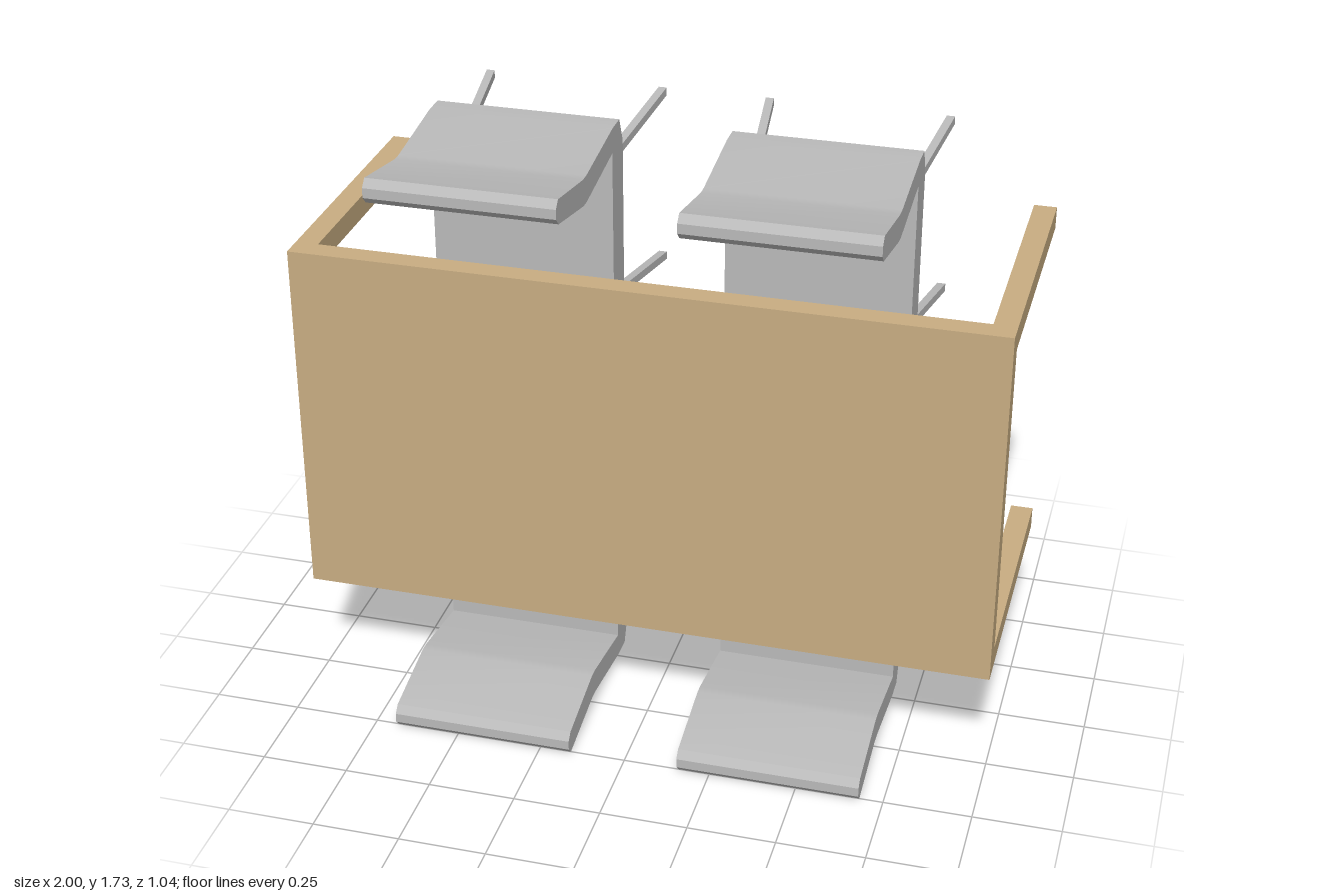
import * as THREE from 'three';
import { toCreasedNormals } from 'three/addons/utils/BufferGeometryUtils.js';

const wood = new THREE.MeshStandardMaterial({ color: 0xc8ad82, side: THREE.DoubleSide });
wood.name = 'tan wood';
const grey = new THREE.MeshStandardMaterial({ color: 0xb9b9b9, side: THREE.DoubleSide });
grey.name = 'light grey';

const MID = 0.867; // height of the table's centre line
const BACK = -0.52; // plane where all the legs end

function add(parent, name, geometry, material) {
  const mesh = new THREE.Mesh(geometry, material);
  mesh.name = name;
  parent.add(mesh);
  return mesh;
}

// Square tube along z, sheared from centre a (at z0) to centre b (at z1), open at the z1 end
function tube(size, a, b, z0, z1) {
  const g = new THREE.BoxGeometry(size, size, 1);
  g.setIndex(Array.from(g.index.array).slice(0, 30));
  const p = g.attributes.position;
  for (let i = 0; i < p.count; i++) {
    const [c, z] = p.getZ(i) > 0 ? [a, z0] : [b, z1];
    p.setXYZ(i, p.getX(i) + c[0], p.getY(i) + c[1], z);
  }
  const flat = g.toNonIndexed();
  flat.computeVertexNormals();
  return flat;
}

function rectangle(Path, w, h) {
  const s = new Path();
  s.moveTo(-w, -h).lineTo(w, -h).lineTo(w, h).lineTo(-w, h).closePath();
  return s;
}

function createTable() {
  const table = new THREE.Group();
  table.name = 'table';
  const halfH = 0.532, t = 0.065;

  // Top panel over a rim that leaves the underside recessed
  add(table, 'tableTop', new THREE.BoxGeometry(2, halfH * 2, 0.025), wood)
    .position.set(0, MID, 0.3025);
  const rim = rectangle(THREE.Shape, 1, halfH);
  rim.holes.push(rectangle(THREE.Path, 1 - t, halfH - t));
  add(table, 'tableRim', new THREE.ExtrudeGeometry(rim, { depth: 0.04, bevelEnabled: false }), wood)
    .position.set(0, MID, 0.25);

  // Four corner legs
  for (const sx of [-1, 1]) for (const sy of [-1, 1]) {
    const c = [sx * (1 - t / 2), MID + sy * (halfH - t / 2)];
    add(table, 'tableLeg', tube(t, c, c, 0.25, BACK), wood);
  }
  return table;
}

// Side profile of seat and backrest as (z, y)
const PROFILE = [
  [0.52, 1.713], [0.5, 1.734], [0.28, 1.694], [0.25, 1.694], [0, 1.726],
  [-0.065, 1.726], [-0.097, 1.653], [-0.097, 1.081], [-0.07, 1.053], [-0.022, 1.053],
  [0.006, 1.081], [0.006, 1.655], [0.25, 1.618], [0.28, 1.618], [0.5, 1.664], [0.52, 1.685],
];

function createChair() {
  const chair = new THREE.Group();
  const width = 0.524;
  const shape = new THREE.Shape(PROFILE.map(([z, y]) => new THREE.Vector2(z, y - MID)));
  const body = new THREE.ExtrudeGeometry(shape, { depth: width, bevelEnabled: false });
  body.translate(0, 0, -width / 2).rotateY(-Math.PI / 2);
  add(chair, 'seatAndBackrest', toCreasedNormals(body, 0.5), grey);

  // Splayed legs
  for (const sx of [-1, 1]) {
    for (const [y0, y1] of [[1.579, 1.632], [1.161, 1.107]]) {
      add(chair, 'chairLeg',
        tube(0.024, [sx * 0.214, y0 - MID], [sx * 0.262, y1 - MID], -0.09, BACK), grey);
    }
  }
  return chair;
}

export function createModel() {
  const model = new THREE.Group();
  model.name = 'diningSet';
  model.add(createTable());

  // Two chairs on each long side; the second row is turned half round
  for (const x of [-0.421, 0.421]) for (const turn of [0, Math.PI]) {
    const chair = createChair();
    chair.name = 'chair';
    chair.position.set(x, MID, 0);
    chair.rotation.z = turn;
    model.add(chair);
  }
  return model;
}
